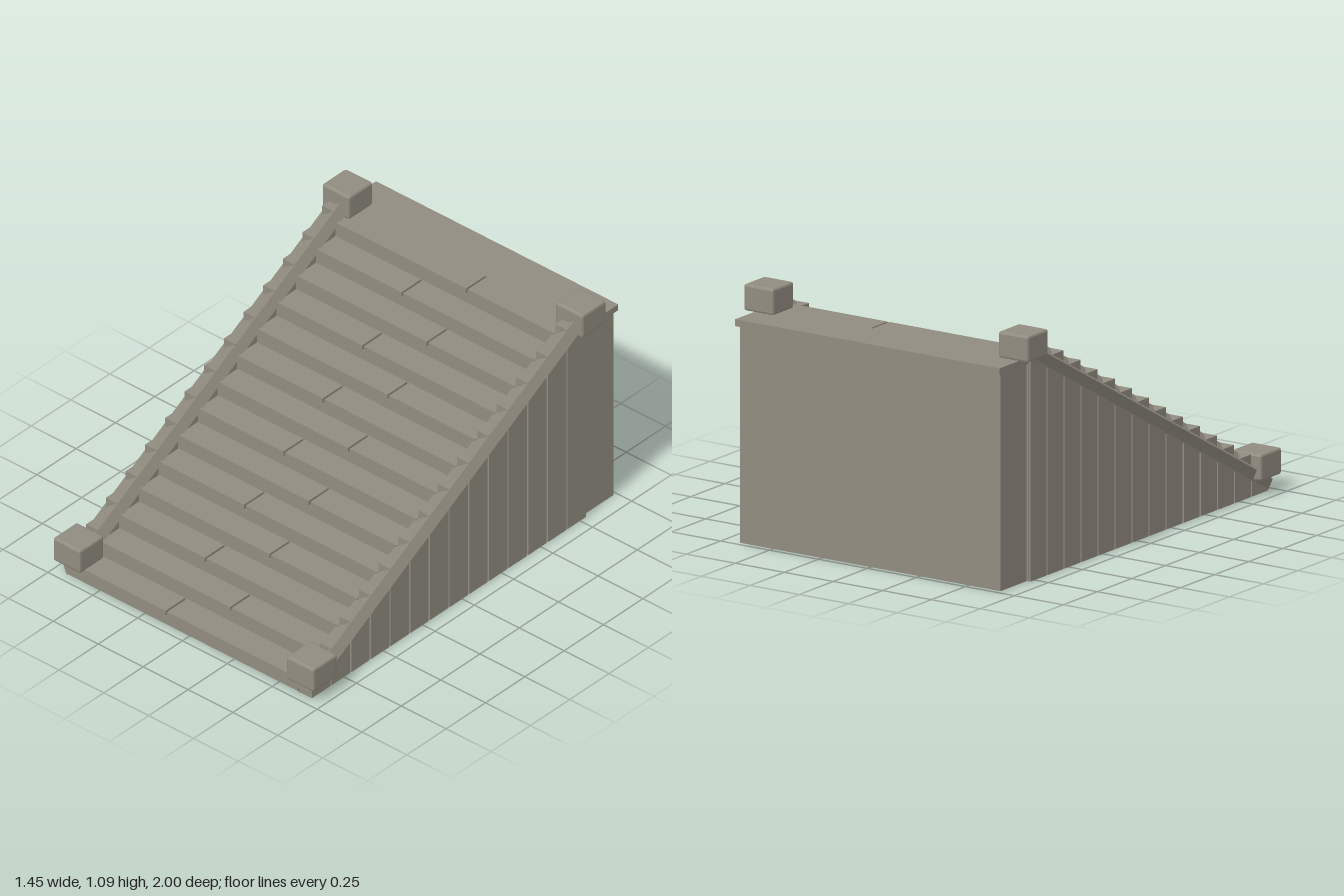
import * as THREE from 'three';
import { RoundedBoxGeometry } from 'three/addons/geometries/RoundedBoxGeometry.js';

const STEPS = 14, RUN = 0.125, RISE = 0.0696, FRONT = 0.96, BACK = FRONT - STEPS * RUN;
const SLOPE = RISE / RUN;

export function createModel() {
  const model = new THREE.Group();
  const stone = new THREE.MeshStandardMaterial({ color: 0x918c80 });
  stone.name = 'weathered stone';

  const add = (name, geometry) => {
    const mesh = new THREE.Mesh(geometry, stone);
    mesh.name = name;
    model.add(mesh);
    return mesh;
  };
  // Box given by its limits on each axis
  const box = (name, x0, x1, y0, y1, z0, z1) =>
    add(name, new THREE.BoxGeometry(x1 - x0, y1 - y0, z1 - z0))
      .position.set((x0 + x1) / 2, (y0 + y1) / 2, (z0 + z1) / 2);
  // Side slab from zBack to zFront whose top follows the stair slope
  const slopedSlab = (name, x0, x1, y0, zBack, zFront, top) => {
    const shape = new THREE.Shape([
      new THREE.Vector2(-zFront, y0), new THREE.Vector2(-zBack, y0),
      new THREE.Vector2(-zBack, top - SLOPE * zBack), new THREE.Vector2(-zFront, top - SLOPE * zFront),
    ]);
    const g = new THREE.ExtrudeGeometry(shape, { depth: x1 - x0, bevelEnabled: false });
    add(name, g.rotateY(Math.PI / 2).translate(x0, 0, 0));
  };

  // Steps: riser block, split tread boards, base planks and side planks
  for (let i = 0; i < STEPS; i++) {
    const zf = FRONT - i * RUN, zb = zf - RUN, top = 0.07 + i * RISE;
    const split = i % 2 ? 0.125 : -0.125;
    box('riser', -0.61, 0.61, 0.006, top - 0.025, zb, zf);
    box('treadLeft', split + 0.005, 0.61, top - 0.025, top, zb, zf);
    box('treadRight', -0.61, split - 0.005, top - 0.025, top, zb, zf);
    box('basePlank', -0.683, 0.683, 0, 0.02, zb + 0.004, zf - 0.004);
    for (const x of [-0.683, 0.605])
      slopedSlab('sidePlank', x, x + 0.078, 0, zb + 0.004, zf - 0.004, 0.588);
  }

  // Recessed backing behind the plank gaps
  for (const x of [-0.673, 0.607])
    slopedSlab('sideBacking', x, x + 0.066, 0.006, BACK, FRONT - 0.006, 0.585);

  // Landing at the top
  box('landingWall', -0.665, 0.665, 0, 0.945, -0.98, BACK);
  box('landingSlab', -0.675, 0.675, 0.945, 0.975, -1, BACK);

  // Tilted rails, sheared along the slope, with stepped blocks set into them
  const section = new THREE.Shape([
    new THREE.Vector2(-0.055, -0.058), new THREE.Vector2(-0.03, -0.113),
    new THREE.Vector2(0.055, -0.055), new THREE.Vector2(0.03, 0),
  ]);
  const shear = new THREE.Matrix4().set(1, 0, 0, 0, 0, 1, -SLOPE, 0, 0, 0, 1, 0, 0, 0, 0, 1);
  for (const x of [-0.65, 0.65]) {
    const rail = new THREE.ExtrudeGeometry(section, { depth: FRONT - BACK, bevelEnabled: false });
    rail.translate(x, 0.646, BACK).applyMatrix4(shear);
    add('rail', rail);
    for (let i = 0; i < STEPS - 1; i++) {
      const zf = 0.83 - i * RUN, top = 0.648 - SLOPE * zf;
      box('railBlock', x - 0.035, x + 0.03, top - 0.045, top, zf - 0.085, zf);
    }
    // Chamfered post caps at both ends
    for (const [y, z] of [[0.128, 0.92], [1.032, -0.79]]) {
      const cap = new RoundedBoxGeometry(0.152, 0.116, 0.152, 1, 0.01);
      cap.computeVertexNormals();
      add('postCap', cap).position.set(x, y, z);
    }
  }
  return model;
}
